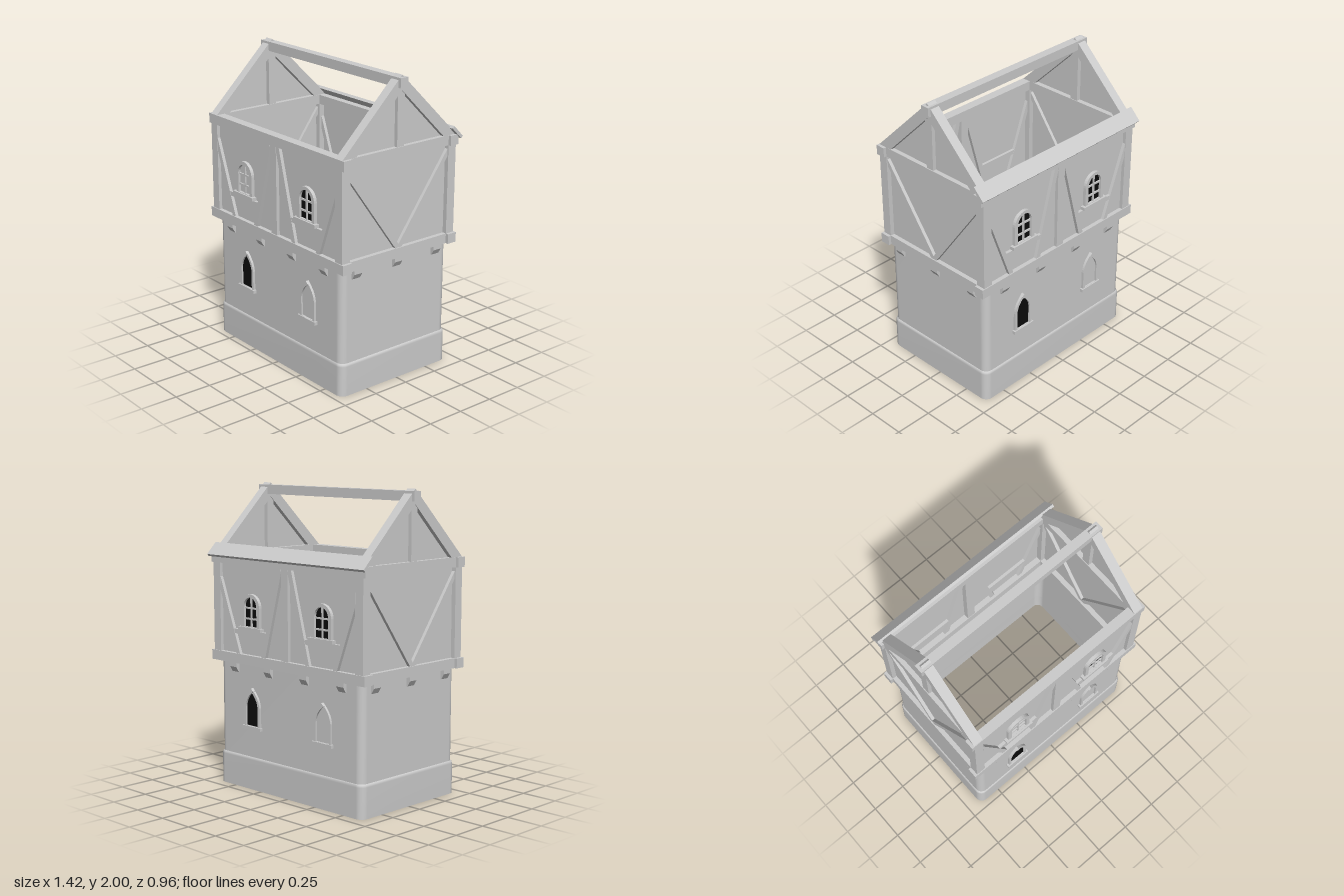
import * as THREE from 'three';

const plaster = new THREE.MeshStandardMaterial({ color: 0xcccccc, side: THREE.DoubleSide });
plaster.name = 'pale grey';
const dark = new THREE.MeshStandardMaterial({ color: 0x0c0c0c, side: THREE.DoubleSide });
dark.name = 'dark glass';

const HX = 0.65, HZ = 0.4375; // half width and half depth of the walls
const T = 0.065; // timber thickness

function add(parent, name, geometry, material = plaster) {
  const mesh = new THREE.Mesh(geometry, material);
  mesh.name = name;
  parent.add(mesh);
  return mesh;
}

function box(parent, name, w, h, d, x, y, z) {
  const m = add(parent, name, new THREE.BoxGeometry(w, h, d));
  m.position.set(x, y, z);
  return m;
}

const polygon = (pts) => new THREE.Shape(pts.map(([x, y]) => new THREE.Vector2(x, y)));

// Flat piece of timber: outline in x,y, running from z0 to z0 + depth
function plank(parent, name, shape, z0, depth) {
  const g = new THREE.ExtrudeGeometry(shape, { depth, bevelEnabled: false, curveSegments: 8 });
  g.translate(0, 0, z0);
  return add(parent, name, g);
}

// Open shell lofted through rounded rectangles; levels are [y, halfX, halfZ]
function shell(levels, r) {
  const pos = [], index = [], n = 24;
  for (const [y, hx, hz] of levels) {
    for (let c = 0; c < 4; c++) {
      const sx = c === 0 || c === 3 ? 1 : -1, sz = c < 2 ? 1 : -1;
      for (let i = 0; i < 6; i++) {
        const a = (c + i / 5) * Math.PI / 2;
        pos.push(sx * (hx - r) + r * Math.cos(a), y, sz * (hz - r) + r * Math.sin(a));
      }
    }
  }
  for (let l = 0; l < levels.length - 1; l++) {
    for (let i = 0; i < n; i++) {
      const a = l * n + i, b = l * n + (i + 1) % n;
      index.push(a, a + n, b, b, a + n, b + n);
    }
  }
  const g = new THREE.BufferGeometry();
  g.setAttribute('position', new THREE.Float32BufferAttribute(pos, 3));
  g.setIndex(index);
  g.computeVertexNormals();
  return g;
}

// Window outline: round-headed or pointed
function arch(w, base, spring, top, pointed, Type = THREE.Shape) {
  const s = new Type();
  s.moveTo(-w, base);
  s.lineTo(w, base);
  s.lineTo(w, spring);
  if (pointed) {
    s.quadraticCurveTo(w * 0.92, spring + (top - spring) * 0.55, 0, top);
    s.quadraticCurveTo(-w * 0.92, spring + (top - spring) * 0.55, -w, spring);
  } else {
    s.absellipse(0, spring, w, top - spring, 0, Math.PI, false);
  }
  s.lineTo(-w, base);
  return s;
}

function upperWindow(x, glazed) {
  const g = new THREE.Group();
  g.name = 'upperWindow';
  const frame = arch(0.087, 1.085, 1.218, 1.305, false);
  frame.holes.push(arch(0.06, 1.09, 1.22, 1.283, false, THREE.Path));
  plank(g, 'windowFrame', frame, HZ, 0.022);
  const pane = add(g, 'pane', new THREE.ShapeGeometry(arch(0.06, 1.09, 1.22, 1.283, false), 8), glazed ? dark : plaster);
  pane.position.z = HZ + 0.004;
  box(g, 'mullion', 0.011, 0.19, 0.014, 0, 1.185, HZ + 0.007);
  for (const y of [1.142, 1.212]) box(g, 'glazingBar', 0.118, 0.011, 0.014, 0, y, HZ + 0.007);
  box(g, 'sill', 0.215, 0.022, 0.034, 0, 1.076, HZ + 0.017);
  g.position.x = x;
  return g;
}

function lowerWindow(x, glazed) {
  const g = new THREE.Group();
  g.name = 'lowerWindow';
  const frame = arch(0.074, 0.43, 0.56, 0.682, true);
  frame.holes.push(arch(0.056, 0.432, 0.56, 0.655, true, THREE.Path));
  plank(g, 'windowFrame', frame, HZ, 0.016);
  const pane = add(g, 'pane', new THREE.ShapeGeometry(arch(0.056, 0.432, 0.56, 0.655, true), 8), glazed ? dark : plaster);
  pane.position.z = HZ + 0.004;
  box(g, 'keystone', 0.026, 0.026, 0.022, 0, 0.667, HZ + 0.011).rotation.z = Math.PI / 4;
  box(g, 'sill', 0.174, 0.022, 0.024, 0, 0.42, HZ + 0.012);
  g.position.x = x;
  return g;
}

// Tapered bracket under the overhang, at distance d from the centre
function bracket(parent, x, d) {
  const s = polygon([[d - 0.01, 0.775], [d + 0.006, 0.775], [d + 0.027, 0.81], [d + 0.027, 0.845], [d - 0.01, 0.845]]);
  const g = new THREE.ExtrudeGeometry(s, { depth: 0.062, bevelEnabled: false });
  g.translate(0, 0, -0.031).rotateY(-Math.PI / 2);
  add(parent, 'bracket', g).position.x = x;
}

// Long wall: timber frame, windows and brackets
function longWall(upperGlazed) {
  const g = new THREE.Group();
  g.name = 'longWall';
  const zc = 0.43;
  const panel = add(g, 'upperPanel', new THREE.PlaneGeometry(2 * HX, 0.68));
  panel.position.set(0, 1.195, HZ);
  box(g, 'sillBeam', 1.4, T, T + 0.004, 0, 0.87, zc + 0.002);
  box(g, 'eaveBeam', 1.4, T, T, 0, 1.522, zc);
  box(g, 'middlePost', 0.06, 0.6, T - 0.005, 0, 1.195, zc);
  for (const s of [-1, 1]) {
    const m = (pts) => polygon(pts.map(([x, y]) => [s * x, y]));
    plank(g, 'outerBrace', m([[0.613, 1.4], [0.425, 0.9], [0.46, 0.9], [0.613, 1.31]]), HZ - 0.022, 0.044);
    plank(g, 'innerBrace', m([[0.035, 1.49], [0.06, 1.49], [0.22, 0.9], [0.183, 0.9], [0.03, 1.465]]), HZ - 0.022, 0.044);
    plank(g, 'windowRail', m([[0.16, 1.065], [0.49, 1.065], [0.48, 1.035], [0.17, 1.035]]), HZ - 0.02, 0.04);
    g.add(upperWindow(s * 0.325, s > 0 || upperGlazed));
    g.add(lowerWindow(s * 0.325, s < 0));
    for (const x of [0.165, 0.49]) bracket(g, s * x, HZ);
  }
  return g;
}

// Gable end, built facing +z and then turned
function gableEnd() {
  const g = new THREE.Group();
  g.name = 'gableEnd';
  const zc = 0.6475;
  const panel = polygon([[-HZ, 0.86], [HZ, 0.86], [HZ, 1.54], [0, 1.965], [-HZ, 1.54]]);
  add(g, 'gablePanel', new THREE.ShapeGeometry(panel)).position.z = HX;
  const rafters = polygon([[0.4575, 1.555], [0, 2], [-0.4575, 1.555], [-0.354, 1.555], [0, 1.905], [0.354, 1.555]]);
  plank(g, 'rafters', rafters, zc - T / 2, T);
  box(g, 'kingPost', 0.056, 0.38, T - 0.01, 0, 1.74, zc);
  box(g, 'tieBeam', 0.86, T, T, 0, 1.522, zc);
  box(g, 'sideSillBeam', 0.86, T, T, 0, 0.87, zc);
  for (const s of [-1, 1]) {
    const brace = polygon([[0.4, 1.468], [0, 0.925], [0, 0.9], [0.024, 0.9], [0.4, 1.42]].map(([x, y]) => [s * x, y]));
    plank(g, 'sideBrace', brace, HX - 0.022, 0.044);
    box(g, 'cornerPost', T - 0.002, 0.6, T, s * 0.429, 1.195, zc);
  }
  for (const x of [-0.3275, 0, 0.3275]) bracket(g, x, HX);
  return g;
}

export function createModel() {
  const model = new THREE.Group();
  model.name = 'timberFramedHouse';
  const house = new THREE.Group();
  house.name = 'house';
  house.position.z = 0.0125;
  model.add(house);

  // Ground floor
  add(house, 'plinth', shell([[0, 0.66, 0.4455], [0.2, 0.66, 0.4455], [0.213, 0.657, 0.4435], [0.219, HX, HZ]], 0.05));
  add(house, 'groundFloorWall', shell([[0.2, HX, HZ], [0.86, HX, HZ]], 0.05));

  // Upper floor
  const front = longWall(false);
  const back = longWall(true);
  back.rotation.y = Math.PI;
  house.add(front, back);
  for (const s of [-1, 1]) {
    const end = gableEnd();
    end.rotation.y = s * Math.PI / 2;
    house.add(end);
  }

  // Roof timbers
  box(house, 'ridgeBeam', 1.4, 0.062, 0.06, 0, 1.955, 0);
  const board = box(house, 'roofBoard', 1.42, 0.02, 0.106, 0, 1.572, -0.445);
  board.rotation.x = -Math.PI / 4;
  return model;
}
